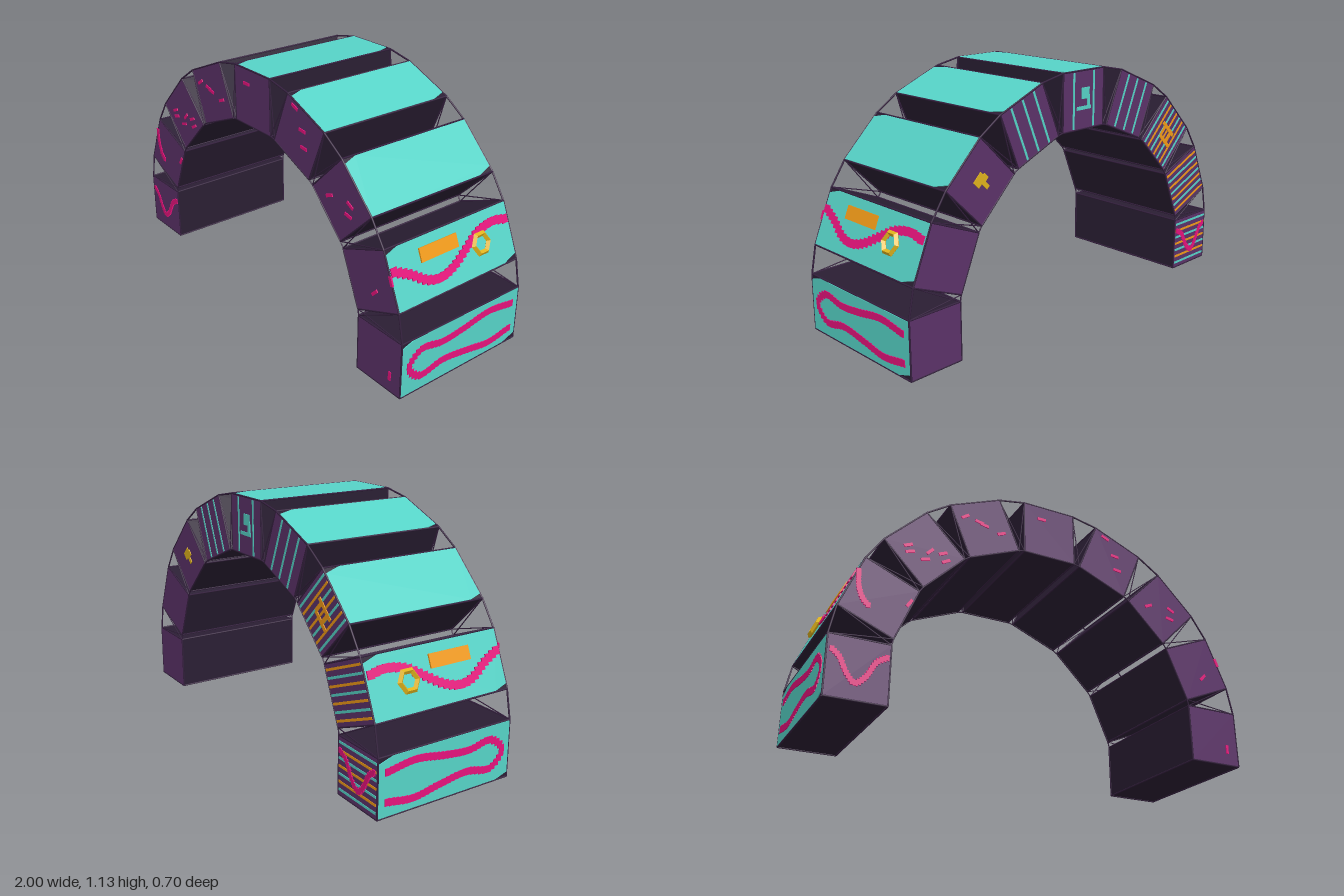
import * as THREE from 'three';

const mat = (color, extra = {}) => new THREE.MeshStandardMaterial({ color, ...extra });
const M = {
  dark: mat(0x2a1e33), frame: mat(0x35203f), purple: mat(0x5c3269), teal: mat(0x56d3c7),
  pink: mat(0xe5137c), orange: mat(0xf09a18), gold: mat(0xe0b31c, { flatShading: true }),
};
const R = 0.865, CY = 0.135, H = 0.131, D = 0.345, COUNT = 9;

function add(parent, name, geometry, material, x = 0, y = 0, z = 0) {
  const mesh = new THREE.Mesh(geometry, material);
  mesh.name = name;
  mesh.position.set(x, y, z);
  parent.add(mesh);
  return mesh;
}
const box = (parent, name, m, w, h, d, x, y, z) =>
  add(parent, name, new THREE.BoxGeometry(w, h, d), m, x, y, z);

// Thin round rod between two points
function rod(parent, name, a, b, r) {
  const dir = b.clone().sub(a);
  const mesh = add(parent, name, new THREE.CylinderGeometry(r, r, dir.length(), 6), M.frame);
  mesh.position.copy(a).add(b).multiplyScalar(0.5);
  mesh.quaternion.setFromUnitVectors(new THREE.Vector3(0, 1, 0), dir.normalize());
}

// Row of small blocks spaced evenly along a smooth path
function blockTrail(parent, name, points, count, size) {
  const group = new THREE.Group();
  group.name = name;
  const curve = new THREE.CatmullRomCurve3(points.map(p => new THREE.Vector3(...p)));
  curve.getSpacedPoints(count - 1).forEach(p => box(group, 'trailBlock', M.pink, ...size, p.x, p.y, p.z));
  parent.add(group);
}

// Outer cover with two opposite corners cut off
function coverGeometry() {
  const pts = [[-D, -0.127], [0.27, -0.127], [D, -0.103], [D, 0.127], [-0.28, 0.127], [-D, 0.107]];
  const shape = new THREE.Shape(pts.map(p => new THREE.Vector2(...p)));
  return new THREE.ExtrudeGeometry(shape, { depth: 0.005, bevelEnabled: false }).rotateY(Math.PI / 2);
}

// One block of the arch: local x points outward, local y runs along the arch
function archBlock(angle) {
  const g = new THREE.Group();
  g.name = 'archBlock';
  g.position.set(R * Math.cos(angle), CY + R * Math.sin(angle), 0);
  g.rotation.z = angle;
  box(g, 'body', M.dark, 0.26, 0.26, 0.688, 0, 0, 0);
  add(g, 'outerCover', coverGeometry(), M.teal, 0.129, 0, 0);
  for (const s of [1, -1]) {
    box(g, s > 0 ? 'frontPlate' : 'backPlate', M.purple, 0.257, 0.257, 0.003, 0, 0, s * 0.3455);
    for (const t of [1, -1]) {
      const P = (x, y, z) => new THREE.Vector3(x * H, y * H, z * D);
      rod(g, 'edgeRod', P(s, t, -1), P(s, t, 1), 0.004);
      rod(g, 'edgeRod', P(-1, s, t), P(1, s, t), 0.004);
      rod(g, 'edgeRod', P(s, -1, t), P(s, 1, t), 0.004);
    }
  }
  return g;
}

// Radial stripes on the back plate
function backStripes(g, ys, materials) {
  ys.forEach((y, i) => box(g, 'backStripe', materials[i % materials.length], 0.25, 0.011, 0.004, 0, y, -0.347));
}

// Block ornament on the back plate, from [x, y, width, height] pieces
function backOrnament(g, m, pieces) {
  pieces.forEach(([x, y, w, h]) => box(g, 'backOrnament', m, w, h, 0.005, x, y, -0.348));
}

// Looping trail on the base blocks
function baseTrail(g, s) {
  const zy = [[-0.3, 0.065], [-0.16, 0.083], [0, 0.06], [0.12, 0.05], [0.24, 0.066], [0.305, 0.005],
    [0.245, -0.062], [0.11, -0.044], [-0.04, -0.062], [-0.17, -0.082], [-0.3, -0.064]];
  blockTrail(g, 'loopTrail', zy.map(([z, y]) => [0.131, y * s, z]), 58, [0.012, 0.032, 0.026]);
}

// Wavy trail, ring and bar on the second blocks
function shoulderDecor(g, s) {
  const zy = [[0.325, 0.035], [0.25, 0], [0.17, -0.05], [0.1, -0.064], [0.02, -0.045], [-0.07, 0.005],
    [-0.15, 0.05], [-0.25, 0.068], [-0.32, 0.056]];
  blockTrail(g, 'waveTrail', zy.map(([z, y]) => [0.133, y * s, z]), 27, [0.014, 0.036, 0.032]);
  box(g, 'bar', M.orange, 0.014, 0.06, 0.21, 0.134, 0.055 * s, 0.075);
  const ring = add(g, 'ring', new THREE.TorusGeometry(0.044, 0.013, 4, 6), M.gold, 0.142, 0, -0.153);
  ring.rotation.y = Math.PI / 2;
}

export function createModel() {
  const model = new THREE.Group();
  model.name = 'blockArch';

  // Nine blocks on a half circle
  const blocks = [];
  for (let i = 0; i < COUNT; i++) {
    const g = archBlock((i * Math.PI) / (COUNT - 1));
    blocks.push(g);
    model.add(g);
  }
  for (const [base, shoulder, s] of [[0, 1, 1], [8, 7, -1]]) {
    baseTrail(blocks[base], s);
    shoulderDecor(blocks[shoulder], s);
  }

  // Braces across the gaps, front and back
  model.updateMatrixWorld(true);
  for (let i = 0; i < COUNT - 1; i++) {
    for (const z of [D, -D]) {
      const a = x => blocks[i].localToWorld(new THREE.Vector3(x * H, H, z));
      const b = x => blocks[i + 1].localToWorld(new THREE.Vector3(x * H, -H, z));
      rod(model, 'outerTie', a(1), b(1), 0.004);
      rod(model, 'innerTie', a(-1), b(-1), 0.003);
      rod(model, 'crossBrace', a(1), b(-1), 0.0025);
      rod(model, 'crossBrace', a(-1), b(1), 0.0025);
    }
  }

  // Back decoration
  const seven = [-0.105, -0.07, -0.035, 0, 0.035, 0.07, 0.105];
  backStripes(blocks[8], seven, [M.teal, M.orange]);
  backStripes(blocks[7], seven, [M.orange, M.teal]);
  backStripes(blocks[6], seven, [M.teal, M.orange]);
  backStripes(blocks[5], [-0.07, 0, 0.07], [M.teal]);
  backStripes(blocks[4], [-0.065, 0.065], [M.teal]);
  backStripes(blocks[3], [-0.07, 0, 0.07], [M.teal]);
  const knot = [[0.03, 0, 0.018, 0.11], [-0.03, 0.02, 0.018, 0.1], [0, 0.03, 0.08, 0.02], [0.005, -0.03, 0.07, 0.018]];
  backOrnament(blocks[6], M.orange, knot);
  backOrnament(blocks[4], M.teal, [[0.03, 0.01, 0.05, 0.05], [-0.01, 0.03, 0.06, 0.018], [-0.035, 0, 0.016, 0.09]]);
  backOrnament(blocks[2], M.gold, [[0.015, 0, 0.04, 0.055], [-0.02, 0.005, 0.05, 0.02], [0.0, 0.022, 0.03, 0.03]]);

  // Hanging trails on the front and back of the right base, and a short one above it
  const hang = [[-0.975, 0.2], [-0.945, 0.175], [-0.91, 0.11], [-0.875, 0.075], [-0.835, 0.105], [-0.79, 0.18], [-0.75, 0.205]];
  for (const z of [0.347, -0.347]) {
    blockTrail(model, 'hangingTrail', hang.map(([x, y]) => [x, y, z]), 26, [0.018, 0.024, 0.009]);
  }
  const drop = [[-0.895, 0.565], [-0.89, 0.5], [-0.87, 0.445], [-0.845, 0.42]];
  blockTrail(model, 'dropTrail', drop.map(([x, y]) => [x, y, 0.347]), 13, [0.02, 0.024, 0.009]);

  // Scattered dashes on the front: x, y, tilt
  const dashes = [[-0.67, 0.47, 1], [-0.69, 0.745, 0.4], [-0.68, 0.715, 0.3], [-0.59, 0.74, 0.8], [-0.53, 0.745, 0.4],
    [-0.515, 0.71, 0.5], [-0.61, 0.695, 0.3], [-0.43, 0.965, 0.6], [-0.36, 0.955, -0.2], [-0.335, 0.945, -0.2],
    [-0.25, 0.925, 0.4], [-0.04, 1.063, 0], [0.31, 1.06, -0.4], [0.36, 0.97, -0.1], [0.37, 0.895, -0.1],
    [0.54, 0.745, 0.4], [0.67, 0.75, -0.5], [0.66, 0.7, -0.2], [0.83, 0.425, 0.8], [0.92, 0.52, -1.2], [0.935, 0.08, 1.5]];
  for (const [x, y, tilt] of dashes) {
    box(model, 'frontDash', M.pink, 0.042, 0.014, 0.008, x, y, 0.347).rotation.z = tilt;
  }
  return model;
}
